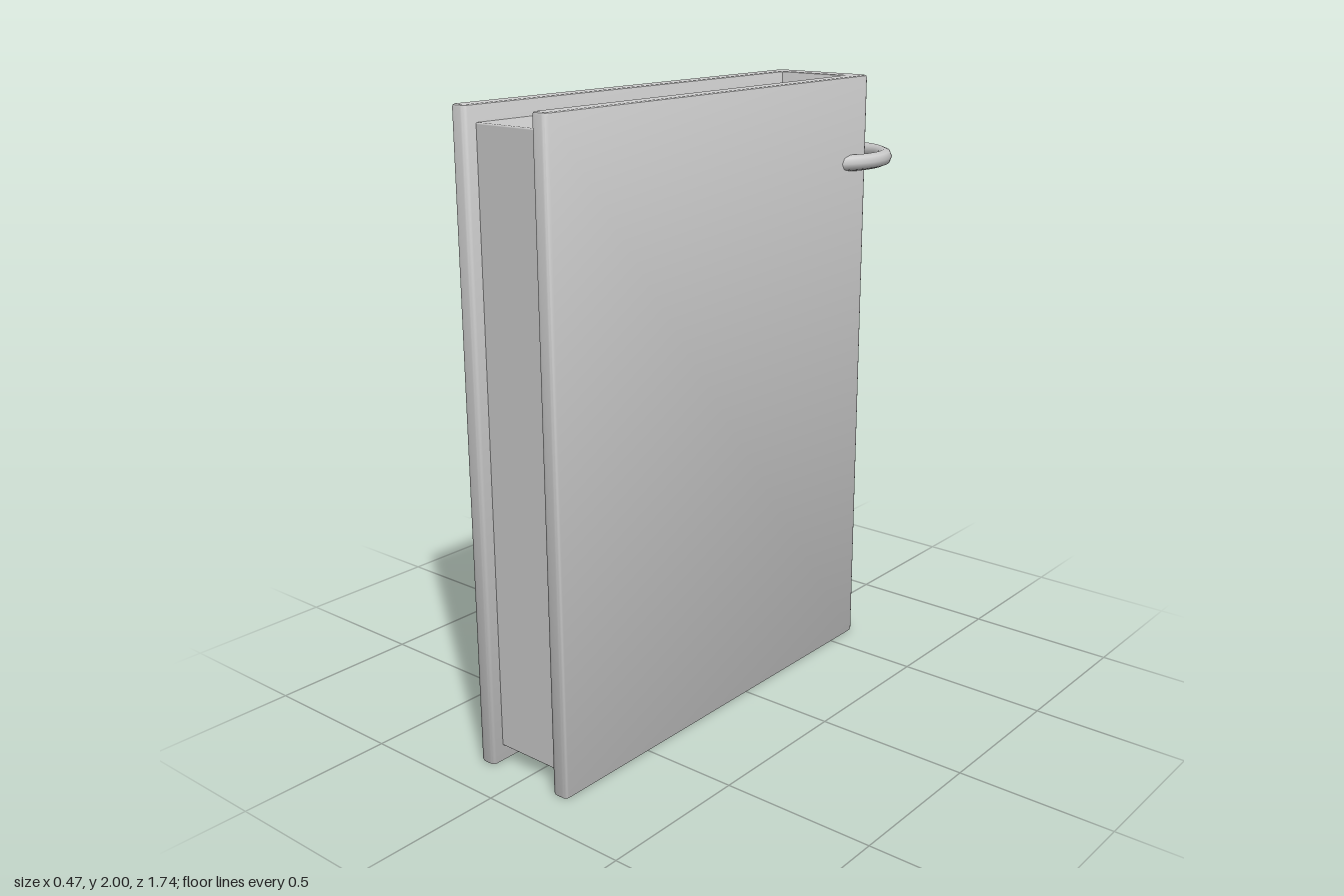
import * as THREE from 'three';
import { toCreasedNormals } from 'three/addons/utils/BufferGeometryUtils.js';
import { RoundedBoxGeometry } from 'three/addons/geometries/RoundedBoxGeometry.js';

export function createModel() {
  const book = new THREE.Group();
  book.name = 'ringBook';
  const material = new THREE.MeshStandardMaterial({ color: 0xcccccc });
  const add = (name, geometry, x, y, z) => {
    const mesh = new THREE.Mesh(geometry, material);
    mesh.name = name;
    mesh.position.set(x, y, z);
    book.add(mesh);
    return mesh;
  };

  // Cover: a U-shaped section (shape y = -z) extruded upwards with a small bevel
  const bevel = 0.008;
  const outer = 0.183 - bevel, inner = 0.125 + bevel;
  const front = -0.87 + bevel, back = 0.635 - bevel, spineInside = 0.567 + bevel;
  const r = 0.022, f = 0.01;
  const section = new THREE.Shape();
  section.moveTo(outer, front + f);
  section.lineTo(outer, back - r);
  section.quadraticCurveTo(outer, back, outer - r, back);
  section.lineTo(-outer + r, back);
  section.quadraticCurveTo(-outer, back, -outer, back - r);
  section.lineTo(-outer, front + f);
  section.quadraticCurveTo(-outer, front, -outer + f, front);
  section.lineTo(-inner - f, front);
  section.quadraticCurveTo(-inner, front, -inner, front + f);
  section.lineTo(-inner, spineInside);
  section.lineTo(inner, spineInside);
  section.lineTo(inner, front + f);
  section.quadraticCurveTo(inner, front, inner + f, front);
  section.lineTo(outer - f, front);
  section.quadraticCurveTo(outer, front, outer, front + f);
  const cover = new THREE.ExtrudeGeometry(section, {
    depth: 2 - 2 * bevel, bevelSize: bevel, bevelThickness: bevel,
    bevelSegments: 2, curveSegments: 5,
  });
  cover.rotateX(-Math.PI / 2);
  add('cover', toCreasedNormals(cover, 0.6), 0, bevel, 0);

  // Page block, set back from the cover edges
  add('pages', new RoundedBoxGeometry(0.256, 1.895, 1.4, 2, 0.005), 0, 1.0025, 0.13);

  // Ring through the spine
  const ring = new THREE.TorusGeometry(0.209, 0.027, 8, 48);
  ring.rotateX(Math.PI / 2);
  add('ring', ring, 0, 1.72, -0.635);

  return book;
}
